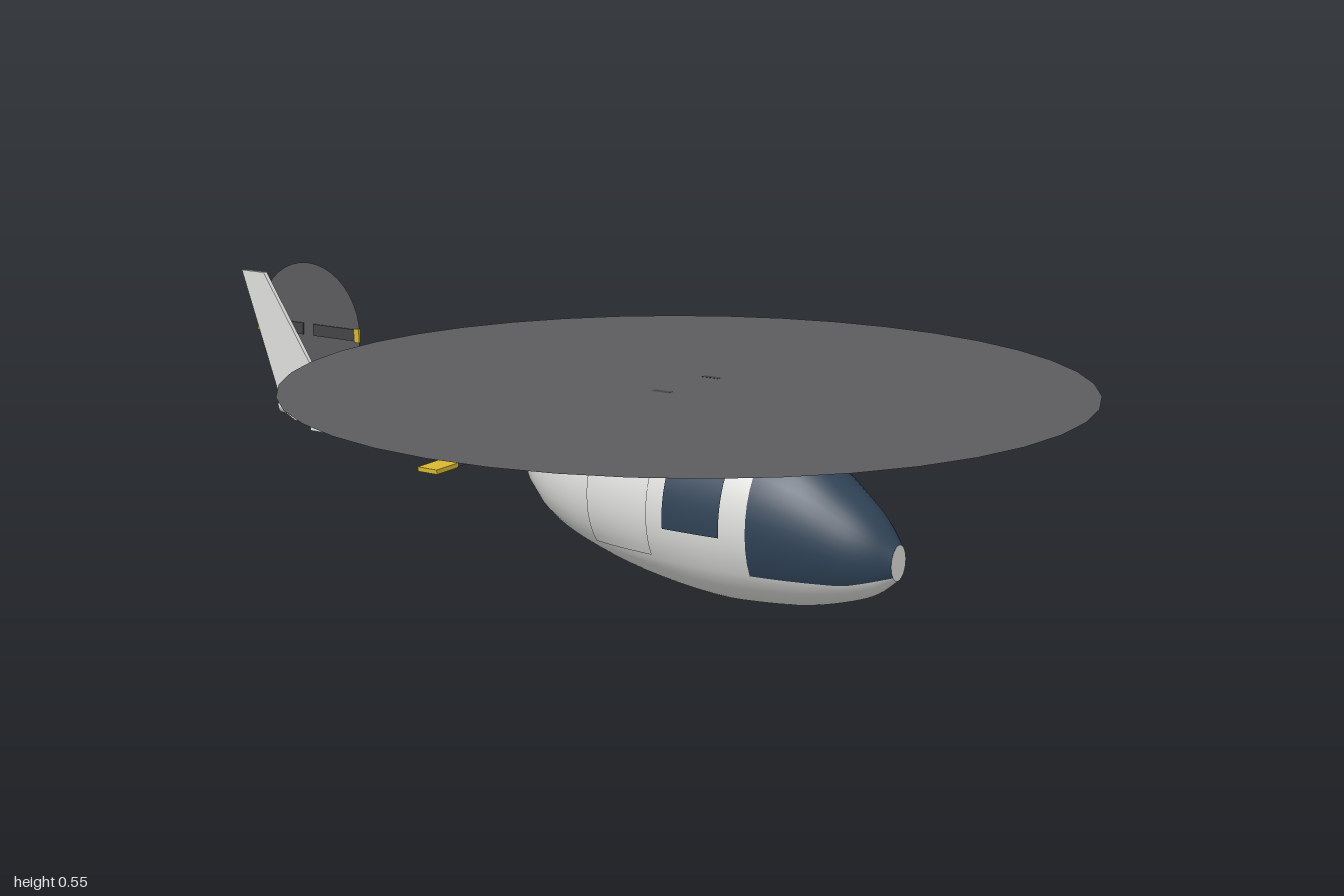
import * as THREE from 'three';

const mat = (name, color, side = THREE.FrontSide) => {
  const m = new THREE.MeshStandardMaterial({ color, side });
  m.name = name;
  return m;
};

// Smooth curve through [z, bottom, top, halfWidth] keys, sampled into sections
function sections(keys, steps) {
  const zw = new THREE.CatmullRomCurve3(keys.map(k => new THREE.Vector3(k[0], k[3], 0)), false, 'catmullrom', 0.5);
  const bt = new THREE.CatmullRomCurve3(keys.map(k => new THREE.Vector3(k[1], k[2], 0)), false, 'catmullrom', 0.5);
  const count = (keys.length - 1) * steps, list = [];
  for (let i = 0; i <= count; i++) {
    const a = zw.getPoint(i / count), b = bt.getPoint(i / count);
    list.push({ z: a.x, hx: a.y, cy: (b.x + b.y) / 2, hy: (b.y - b.x) / 2 });
  }
  return list;
}

// Elliptical loft; the upper arc of the first glassRows rows gets material 1
function loft(secs, splitY = null, glassRows = 0, half = 24) {
  const n = half * 2, pos = [], body = [], glass = [];
  for (const s of secs) {
    let t0 = 0;
    if (splitY !== null) t0 = Math.asin(THREE.MathUtils.clamp((splitY(s.z) - s.cy) / s.hy, -0.85, 0));
    for (let j = 0; j < n; j++) {
      const t = j < half
        ? t0 + (Math.PI - 2 * t0) * j / half
        : Math.PI - t0 + (Math.PI + 2 * t0) * (j - half) / half;
      pos.push(s.hx * Math.cos(t), s.cy + s.hy * Math.sin(t), s.z);
    }
  }
  for (let i = 0; i < secs.length - 1; i++) {
    for (let j = 0; j < n; j++) {
      const a = i * n + j, b = i * n + (j + 1) % n, c = a + n, d = b + n;
      (i < glassRows && j < half ? glass : body).push(a, c, b, b, c, d);
    }
  }
  const g = new THREE.BufferGeometry();
  g.setAttribute('position', new THREE.Float32BufferAttribute(pos, 3));
  g.setIndex([...body, ...glass]);
  g.addGroup(0, body.length, 0);
  g.addGroup(body.length, glass.length, 1);
  g.computeVertexNormals();
  return g;
}

// Thin plate that follows the side of the hull
function sidePatch(secs, side, z0, z1, y0, y1, offset) {
  const g = new THREE.PlaneGeometry(z1 - z0, y1 - y0, 10, 10);
  const p = g.attributes.position;
  for (let i = 0; i < p.count; i++) {
    const z = (z0 + z1) / 2 - side * p.getX(i), y = (y0 + y1) / 2 + p.getY(i);
    let k = 0;
    while (k < secs.length - 2 && secs[k + 1].z > z) k++;
    const a = secs[k], b = secs[k + 1], f = (a.z - z) / (a.z - b.z);
    const mix = key => THREE.MathUtils.lerp(a[key], b[key], f);
    const u = (y - mix('cy')) / mix('hy');
    p.setXYZ(i, side * (mix('hx') * Math.sqrt(Math.max(0, 1 - u * u)) + offset), y, z);
  }
  g.computeVertexNormals();
  return g;
}

export function createModel() {
  const root = new THREE.Group();
  root.name = 'helicopter';
  const white = mat('bodyWhite', 0xdededc);
  const glass = mat('darkGlass', 0x2f4256);
  const dark = mat('rotorGrey', 0x5c5c5e, THREE.DoubleSide);
  const blade = mat('bladeDark', 0x444446);
  const yellow = mat('tipYellow', 0xd8b830);
  const add = (name, geo, material, parent = root) => {
    const m = new THREE.Mesh(geo, material);
    m.name = name;
    parent.add(m);
    return m;
  };
  const endCap = (name, s, facing) => {
    const g = new THREE.CircleGeometry(1, 48);
    if (facing < 0) g.rotateY(Math.PI);
    g.scale(s.hx, s.hy, 1).translate(0, s.cy, s.z);
    add(name, g, white);
  };

  // Cabin hull with wraparound canopy
  const hull = sections([
    [0.68, 0.088, 0.158, 0.028], [0.64, 0.056, 0.205, 0.062], [0.59, 0.035, 0.248, 0.088],
    [0.51, 0.014, 0.306, 0.114], [0.42, 0.003, 0.336, 0.13], [0.3, 0, 0.344, 0.137],
    [0.14, 0.022, 0.344, 0.135], [0, 0.06, 0.332, 0.118], [-0.09, 0.1, 0.317, 0.095],
    [-0.145, 0.148, 0.3, 0.068]], 4);
  add('cabinHull', loft(hull, z => 0.08 + 0.018 * Math.max(0, (z - 0.6) / 0.08), 16), [white, glass]);
  endCap('noseCap', hull[0], 1);
  endCap('hullRearCap', hull[hull.length - 1], -1);

  // Side windows and doors
  for (const s of [1, -1]) {
    const side = s > 0 ? 'left' : 'right';
    add(side + 'Window', sidePatch(hull, s, 0.237, 0.365, 0.152, 0.278, 0.003), glass);
    add(side + 'Door', sidePatch(hull, s, 0.05, 0.2, 0.09, 0.255, 0.003), white);
  }

  // Engine cowling on the roof
  add('engineCowling', loft(sections([
    [0.32, 0.325, 0.334, 0.01], [0.27, 0.305, 0.352, 0.05], [0.16, 0.295, 0.367, 0.078],
    [0.03, 0.293, 0.367, 0.082], [-0.08, 0.292, 0.358, 0.07], [-0.15, 0.292, 0.342, 0.045],
    [-0.175, 0.297, 0.328, 0.026], [-0.183, 0.311, 0.313, 0.002]], 3)), [white, glass]);

  // Tail boom
  const boom = sections([
    [-0.13, 0.182, 0.273, 0.045], [-0.4, 0.198, 0.268, 0.035],
    [-0.65, 0.212, 0.264, 0.026], [-0.875, 0.222, 0.26, 0.018]], 3);
  add('tailBoom', loft(boom), [white, glass]);
  endCap('boomEndCap', boom[boom.length - 1], -1);

  // Swept tail fin, drawn in (-z, y) and turned upright
  const finShape = new THREE.Shape([
    [0.73, 0.255], [0.835, 0.208], [0.87, 0.225], [0.985, 0.532], [0.92, 0.532]
  ].map(p => new THREE.Vector2(...p)));
  const fin = new THREE.ExtrudeGeometry(finShape, { depth: 0.01, bevelEnabled: false });
  fin.translate(0, 0, -0.005).rotateY(Math.PI / 2);
  add('tailFin', fin, white);

  // Tapered horizontal stabiliser, drawn in (x, -z) and laid flat
  const stabShape = new THREE.Shape([
    [-0.125, 0.605], [0.125, 0.605], [0.125, 0.682], [0, 0.702], [-0.125, 0.682]
  ].map(p => new THREE.Vector2(...p)));
  const stab = new THREE.ExtrudeGeometry(stabShape, { depth: 0.01, bevelEnabled: false });
  stab.rotateX(-Math.PI / 2).translate(0, 0.227, 0);
  add('horizontalStabiliser', stab, white);

  // Main rotor: flat disc with two drooping blades
  const mainRotor = new THREE.Group();
  mainRotor.name = 'mainRotor';
  mainRotor.position.set(0, 0.41, 0.2);
  root.add(mainRotor);
  add('mainRotorDisc', new THREE.CircleGeometry(0.8, 40).rotateX(-Math.PI / 2), dark, mainRotor);
  for (const s of [1, -1]) {
    const arm = new THREE.Group();
    arm.name = 'mainBlade';
    arm.rotation.z = -s * 0.026;
    arm.position.y = -0.001;
    mainRotor.add(arm);
    add('bladeSpan', new THREE.BoxGeometry(0.66, 0.007, 0.04).translate(s * 0.41, 0, 0), blade, arm);
    add('bladeTip', new THREE.BoxGeometry(0.058, 0.008, 0.042).translate(s * 0.769, 0, 0), yellow, arm);
  }

  // Tail rotor: upright disc with two blades, on the left side
  const tailRotor = new THREE.Group();
  tailRotor.name = 'tailRotor';
  tailRotor.position.set(0.06, 0.403, -0.85);
  root.add(tailRotor);
  add('tailRotorDisc', new THREE.CircleGeometry(0.149, 40).rotateY(Math.PI / 2).translate(0.002, 0, 0), dark, tailRotor);
  for (const s of [1, -1]) {
    add('tailBlade', new THREE.BoxGeometry(0.003, 0.026, 0.122).translate(0, 0, s * 0.076), blade, tailRotor);
    add('tailBladeTip', new THREE.BoxGeometry(0.006, 0.03, 0.013).translate(0, 0, s * 0.1435), yellow, tailRotor);
  }
  return root;
}
